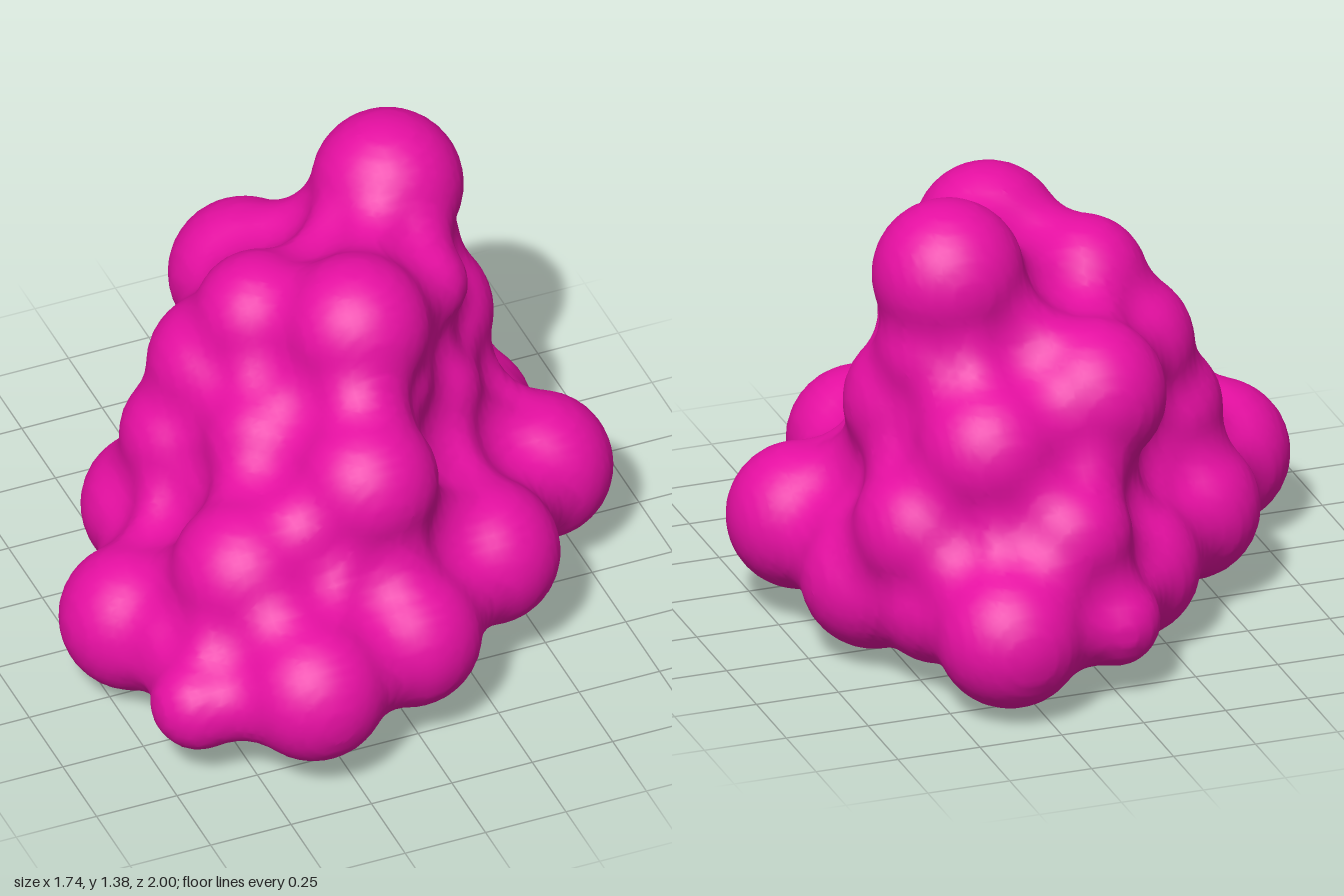
import * as THREE from 'three';

// Radius of the ball that rolls over the lobes and rounds out every crevice
const ROLL = 0.18;

// Two rows of lobes edge the base: x, y, z
const FRONT_ROW = [[-0.34, 0.3, 0.785], [0, 0.31, 0.67], [0.34, 0.34, 0.44], [0.655, 0.3, 0.08]];
const BACK_ROW = [[-0.66, 0.24, 0.21], [-0.42, 0.28, -0.2], [-0.15, 0.24, -0.44], [0.33, 0.24, -0.785]];

// Lobes heaped on the base: x, y, z, radius
const HEAP = [
  // peaks
  [0.335, 1.16, -0.28, 0.22], [0.05, 1.05, 0.17, 0.215], [-0.15, 0.98, -0.07, 0.19], [0.32, 1.02, 0.02, 0.13],
  // shoulders
  [0.35, 0.93, -0.29, 0.2], [0.08, 0.84, 0.15, 0.2], [-0.25, 0.79, -0.13, 0.21], [0.4, 0.74, -0.2, 0.215],
  [0.3, 0.71, -0.53, 0.215], [-0.03, 0.81, -0.47, 0.22], [-0.05, 0.74, 0.48, 0.21], [-0.22, 0.72, 0.16, 0.19],
  [0.3, 0.65, 0.04, 0.18],
  // waist
  [-0.35, 0.57, -0.12, 0.2], [-0.42, 0.52, 0.47, 0.215], [0.11, 0.47, -0.67, 0.185], [0.47, 0.46, -0.46, 0.21],
  [-0.15, 0.5, 0.36, 0.2],
  // small knobs and foot
  [0, 0.22, -0.75, 0.135], [0.44, 0.2, -0.54, 0.13], [-0.64, 0.24, 0.65, 0.14], [0.1, 0.215, -0.03, 0.215],
  [0.56, 0.25, -0.28, 0.215],
  // core
  [0.1, 0.55, -0.1, 0.3], [0.1, 0.85, -0.08, 0.24],
];

// Rows joined by evenly spaced lobes across the base
function collectLobes() {
  const lobes = [...HEAP];
  FRONT_ROW.forEach((front, row) => {
    for (let s = 0; s <= 3; s++) {
      const p = front.map((value, a) => THREE.MathUtils.lerp(value, BACK_ROW[row][a], s / 3));
      lobes.push([...p, s % 3 ? 0.2 : 0.215]);
    }
  });
  return lobes.map(([x, y, z, r]) => ({ c: new THREE.Vector3(x, y, z), r }));
}

const LOBES = collectLobes();

// Can the rolling ball's centre sit at p without cutting into a lobe?
const isFree = (p) => LOBES.every(({ c, r }) => p.distanceTo(c) > r + ROLL - 1e-6);

// Ball centres where the ball touches two lobes at once, sampled round each circle
function crevicePoints() {
  const points = [];
  LOBES.forEach((a, i) => {
    for (const b of LOBES.slice(i + 1)) {
      const axis = b.c.clone().sub(a.c);
      const d = axis.length(), ra = a.r + ROLL, rb = b.r + ROLL;
      const along = (d * d + ra * ra - rb * rb) / (2 * d);
      if (Math.abs(along) >= ra) continue;
      axis.divideScalar(d);
      const radius = Math.sqrt(ra * ra - along * along);
      const u = new THREE.Vector3(axis.y, axis.z, -axis.x).cross(axis).normalize();
      const v = axis.clone().cross(u);
      for (let k = 0; k < 100; k++) {
        const t = (k / 100) * Math.PI * 2;
        const p = a.c.clone().addScaledVector(axis, along);
        p.addScaledVector(u, radius * Math.cos(t)).addScaledVector(v, radius * Math.sin(t));
        if (isFree(p)) points.push(p.x, p.y, p.z);
      }
    }
  });
  return new Float32Array(points);
}

// Signed distance to the surface left by the rolling ball
function field(p, crevices) {
  const gaps = LOBES.map(({ c, r }) => p.distanceTo(c) - r);
  const nearest = Math.min(...gaps);
  if (nearest >= ROLL || nearest < -0.06) return nearest;
  let best = 2 * ROLL;
  LOBES.forEach(({ c, r }, i) => {
    if (ROLL - gaps[i] >= best || gaps[i] >= ROLL) return;
    const centre = p.clone().sub(c).setLength(r + ROLL).add(c);
    if (isFree(centre)) best = ROLL - gaps[i];
  });
  let best2 = best * best;
  for (let k = 0; k < crevices.length; k += 3) {
    const x = crevices[k] - p.x, y = crevices[k + 1] - p.y, z = crevices[k + 2] - p.z;
    best2 = Math.min(best2, x * x + y * y + z * z);
  }
  return ROLL - Math.sqrt(best2);
}

// Skin over the zero level of the field: one vertex per crossed cell, one quad per crossed edge
function skinGeometry() {
  const step = 0.026, n = [78, 62, 88];
  const origin = new THREE.Vector3(-1, -0.12, -1.14);
  const stride = [1, n[0], n[0] * n[1]];
  const total = n[0] * n[1] * n[2];
  const values = new Float32Array(total).fill(1);
  const cellVertex = new Int32Array(total).fill(-1);
  const crevices = crevicePoints();
  const positions = [], indices = [];
  const each = (from, fn) => {
    for (let k = from; k < n[2] - 1; k++)
      for (let j = from; j < n[1] - 1; j++)
        for (let i = from; i < n[0] - 1; i++)
          fn(i + j * stride[1] + k * stride[2], new THREE.Vector3(i, j, k).multiplyScalar(step).add(origin));
  };

  each(0, (id, p) => {
    values[id] = field(p, crevices);
  });

  // Vertices: mean of the edge crossings
  each(0, (id, p) => {
    const mean = new THREE.Vector3();
    let count = 0;
    for (let c = 0; c < 8; c++) {
      for (let a = 0; a < 3; a++) {
        if (c & (1 << a)) continue;
        const corner = [c & 1, (c >> 1) & 1, (c >> 2) & 1];
        const q = id + corner[0] + corner[1] * stride[1] + corner[2] * stride[2];
        const v0 = values[q], v1 = values[q + stride[a]];
        if (v0 < 0 === v1 < 0) continue;
        corner[a] = v0 / (v0 - v1);
        mean.add(new THREE.Vector3(...corner));
        count++;
      }
    }
    if (!count) return;
    cellVertex[id] = positions.length / 3;
    p.addScaledVector(mean, step / count);
    positions.push(p.x, p.y, p.z);
  });

  // Faces: the four cells round each crossed edge
  each(1, (id) => {
    for (let a = 0; a < 3; a++) {
      const inside = values[id] < 0;
      if (inside === values[id + stride[a]] < 0) continue;
      const u = stride[(a + 1) % 3], v = stride[(a + 2) % 3];
      const [A, B, C, D] = [id - u - v, id - v, id, id - u].map((q) => cellVertex[q]);
      if (inside) indices.push(A, B, C, A, C, D);
      else indices.push(A, C, B, A, D, C);
    }
  });

  const geometry = new THREE.BufferGeometry();
  geometry.setAttribute('position', new THREE.Float32BufferAttribute(positions, 3));
  geometry.setIndex(indices);
  geometry.computeVertexNormals();
  return geometry;
}

export function createModel() {
  const group = new THREE.Group();
  group.name = 'lobedCluster';
  const skin = new THREE.Mesh(skinGeometry(), new THREE.MeshStandardMaterial({ color: 0xe60fa2 }));
  skin.name = 'blendedSurface';
  group.add(skin);
  return group;
}
